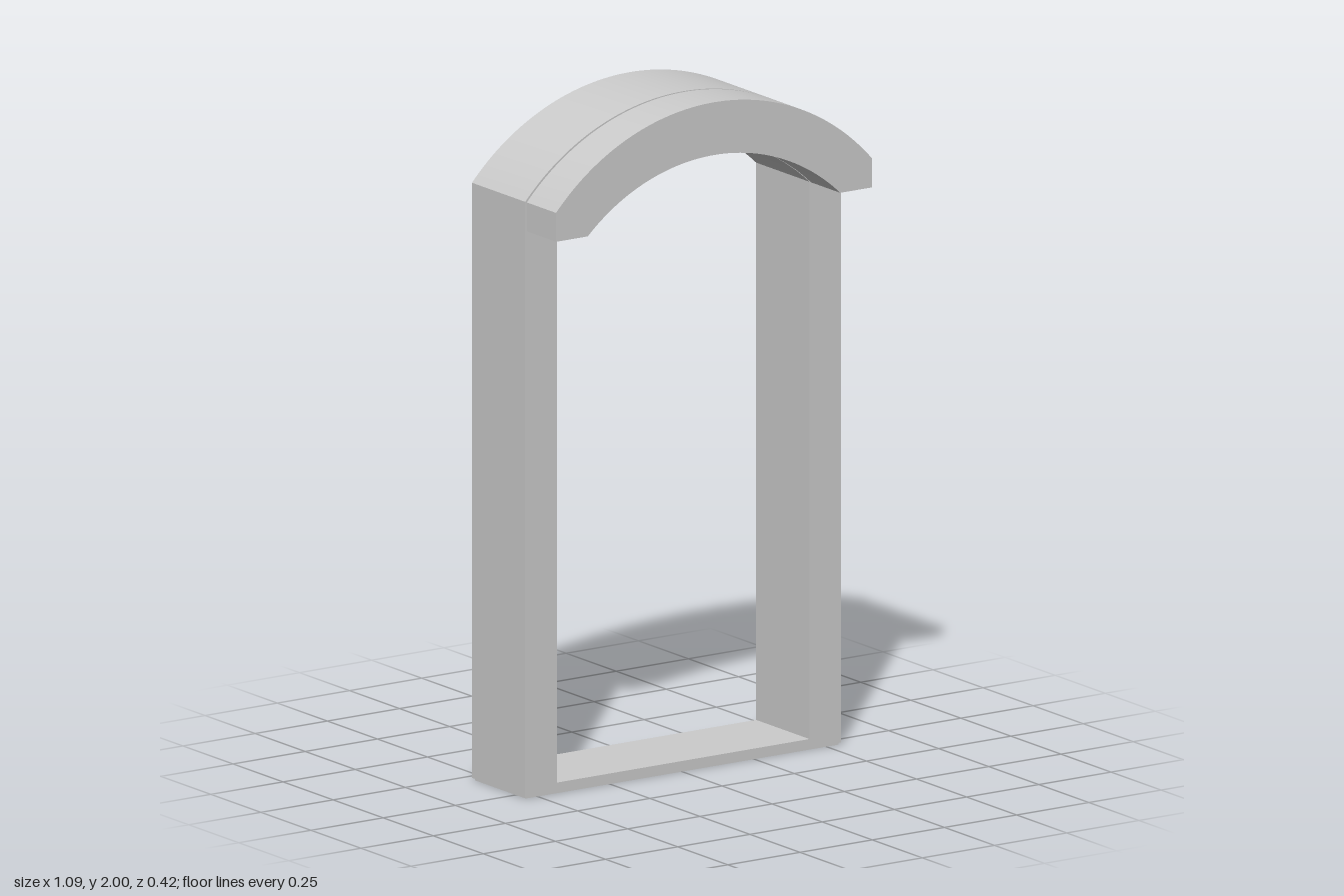
import * as THREE from 'three';
import { toCreasedNormals } from 'three/addons/utils/BufferGeometryUtils.js';

const OUT_W = 0.547, IN_W = 0.437;        // half widths
const OUT_Y = 1.755, IN_Y = 1.67;         // spring heights of the arcs
const OUT_TOP = 2.0, IN_TOP = 1.845;      // crown heights
const BACK = -0.21, FRONT = 0.21, FRAME_FRONT = 0.056, HOOD_BACK = 0.064;
const SOLE = 0.007, SILL_TOP = 0.033;

const material = new THREE.MeshStandardMaterial({ color: 0xcccccc });

// Adds a shallow arc through (-w, y), (0, top), (w, y); dir 1 runs left to right
function addArc(shape, w, y, top, dir) {
  const rise = top - y;
  const r = (w * w + rise * rise) / (2 * rise);
  const half = Math.asin(w / r);
  const mid = Math.PI / 2;
  shape.absarc(0, top - r, r, mid + dir * half, mid - dir * half, dir > 0);
}

// Arch band whose ends reach down to the given height
function archShape(bottom) {
  const s = new THREE.Shape();
  s.moveTo(-OUT_W, bottom);
  s.lineTo(-OUT_W, OUT_Y);
  addArc(s, OUT_W, OUT_Y, OUT_TOP, 1);
  s.lineTo(OUT_W, bottom);
  s.lineTo(IN_W, bottom);
  if (bottom < IN_Y) s.lineTo(IN_W, IN_Y);
  addArc(s, IN_W, IN_Y, IN_TOP, -1);
  if (bottom < IN_Y) s.lineTo(-IN_W, bottom);
  s.closePath();
  return s;
}

function extrudeBetween(name, shape, z0, z1) {
  const geo = new THREE.ExtrudeGeometry(shape, { depth: z1 - z0, bevelEnabled: false, curveSegments: 32 });
  geo.translate(0, 0, z0);
  const mesh = new THREE.Mesh(toCreasedNormals(geo, 0.3), material);
  mesh.name = name;
  return mesh;
}

function slab(name, halfWidth, y0, y1, z0, z1) {
  const geo = new THREE.BoxGeometry(halfWidth * 2, y1 - y0, z1 - z0);
  geo.translate(0, (y0 + y1) / 2, (z0 + z1) / 2);
  const mesh = new THREE.Mesh(geo, material);
  mesh.name = name;
  return mesh;
}

export function createModel() {
  const model = new THREE.Group();
  model.name = 'archedFrame';
  // Two posts joined by the arch
  model.add(extrudeBetween('archedSurround', archShape(SOLE), BACK, FRAME_FRONT));
  // Separate arch in front, with a narrow gap behind it
  model.add(extrudeBetween('frontArch', archShape(IN_Y), HOOD_BACK, FRONT));
  // Sill between the posts and a thin, slightly inset sole beneath
  model.add(slab('sill', IN_W, SOLE, SILL_TOP, BACK, FRAME_FRONT));
  model.add(slab('sole', OUT_W - 0.006, 0, SOLE, BACK + 0.006, FRAME_FRONT - 0.006));
  return model;
}
